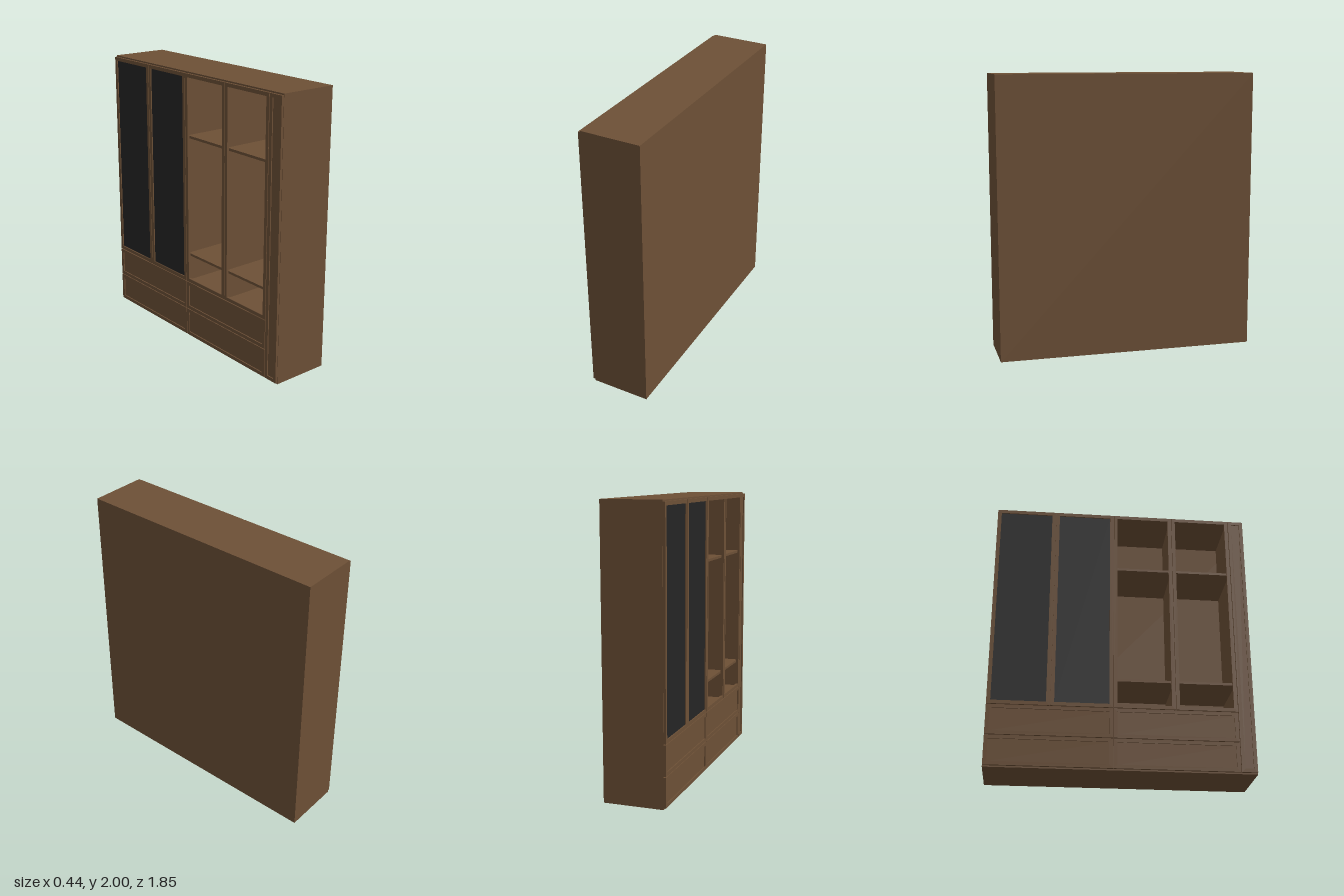
import * as THREE from 'three';

export function createModel() {
  const wood = new THREE.MeshStandardMaterial({ color: 0x6d5036 });
  wood.name = 'brown wood';
  const dark = new THREE.MeshStandardMaterial({ color: 0x252525 });
  dark.name = 'black glass';

  const model = new THREE.Group();
  model.name = 'wardrobe';

  // Box given by its minimum and maximum on each axis
  function box(name, parent, x0, x1, y0, y1, z0, z1, mat = wood) {
    const mesh = new THREE.Mesh(new THREE.BoxGeometry(x1 - x0, y1 - y0, z1 - z0), mat);
    mesh.position.set((x0 + x1) / 2, (y0 + y1) / 2, (z0 + z1) / 2);
    mesh.name = name;
    parent.add(mesh);
  }

  // Carcass: the open side faces -x
  const X0 = -0.203, X1 = 0.22, Z = 0.925, T = 0.018;
  const carcass = new THREE.Group();
  carcass.name = 'carcass';
  model.add(carcass);
  box('backPanel', carcass, X1 - T, X1, 0, 2, -Z, Z);
  box('topPanel', carcass, X0, X1 - T, 2 - T, 2, -Z, Z);
  box('bottomPanel', carcass, X0, X1 - T, 0, T, -Z, Z);
  for (const s of [-1, 1]) {
    const z = s * (Z - T / 2);
    box('sidePanel', carcass, X0, X1 - T, T, 2 - T, z - T / 2, z + T / 2);
  }

  // Column boundaries along z; the last narrow column is a filler
  const cols = [-Z, -0.492, -0.058, 0.376, 0.81, Z];
  for (const z of cols.slice(1, 5)) {
    box('divider', carcass, X0, X1 - T, T, 2 - T, z - T / 2, z + T / 2);
  }

  // Deck above the drawers and the shelves of each column
  for (let i = 0; i < 4; i++) {
    const z0 = cols[i] + (i ? T / 2 : T), z1 = cols[i + 1] - T / 2;
    for (const y of [0.43, 0.645, 1.53]) {
      box('shelf', carcass, X0, X1 - T, y, y + T, z0, z1);
    }
  }

  // Framed front with an optional recessed panel
  function front(name, z0, z1, y0, y1, panelMat, w = 0.028) {
    const group = new THREE.Group();
    group.name = name;
    const g = 0.0025;
    const rect = (path, a, b, c, d) =>
      path.moveTo(a, c).lineTo(b, c).lineTo(b, d).lineTo(a, d).closePath();
    const shape = rect(new THREE.Shape(), z0 + g, z1 - g, y0 + g, y1 - g);
    shape.holes.push(rect(new THREE.Path(), z0 + w, z1 - w, y0 + w, y1 - w));
    const geo = new THREE.ExtrudeGeometry(shape, { depth: 0.017, bevelEnabled: false });
    geo.rotateY(-Math.PI / 2).translate(X0, 0, 0);
    const frame = new THREE.Mesh(geo, wood);
    frame.name = name + 'Frame';
    group.add(frame);
    if (panelMat) {
      box(name + 'Panel', group, X0 - 0.009, X0 - 0.001, y0 + w, y1 - w, z0 + w, z1 - w, panelMat);
    }
    model.add(group);
  }

  // Doors: two dark ones, two open frames
  for (let i = 0; i < 4; i++) {
    front('door', cols[i], cols[i + 1], 0.44, 1.992, i < 2 ? dark : null);
  }
  // Two wide drawers under each pair of doors
  for (const i of [0, 2]) {
    front('drawer', cols[i], cols[i + 2], 0.008, 0.222, wood);
    front('drawer', cols[i], cols[i + 2], 0.222, 0.44, wood);
  }
  // Narrow end panel
  front('endPanel', cols[4], cols[5], 0.008, 1.992, wood);

  return model;
}
